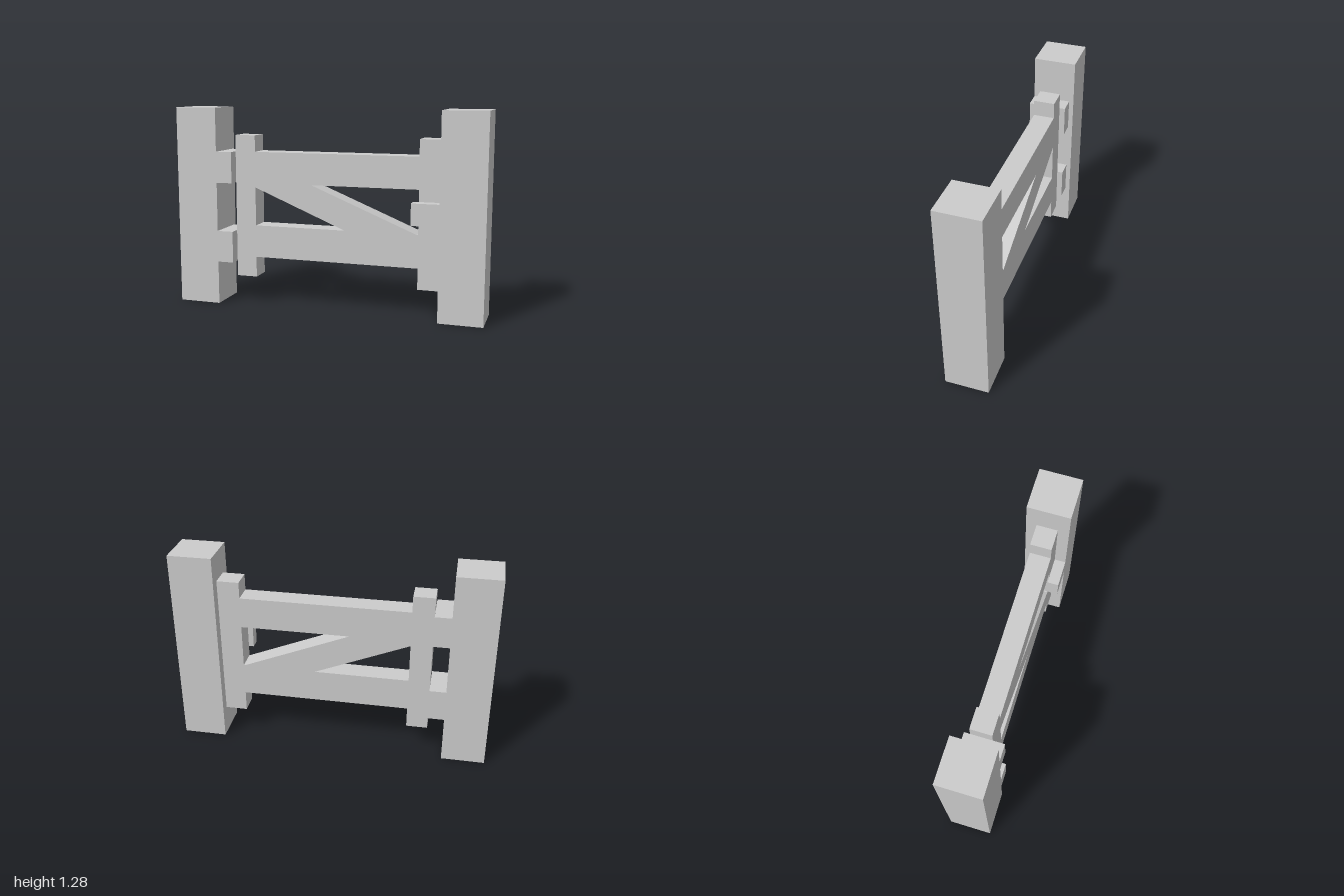
import * as THREE from 'three';

const material = new THREE.MeshStandardMaterial({ color: 0xcccccc, flatShading: true });

// Box given by its limits on each axis
function block(name, [x0, x1], [y0, y1], [z0, z1]) {
  const mesh = new THREE.Mesh(new THREE.BoxGeometry(x1 - x0, y1 - y0, z1 - z0), material);
  mesh.position.set((x0 + x1) / 2, (y0 + y1) / 2, (z0 + z1) / 2);
  mesh.name = name;
  return mesh;
}

const points = (list) => list.map(([x, y]) => new THREE.Vector2(x, y));

// One-piece gate: two stiles, two rails and a diagonal brace between the openings
function createGate() {
  const xl = -0.62, il = -0.485, ir = 0.583, xr = 0.723;
  const low = 0.18, high = 1.105, railLow = 0.313, railHigh = 1.0;
  const shape = new THREE.Shape(points([
    [xl, low], [il, low], [il, railLow], [ir, railLow], [ir, low], [xr, low],
    [xr, high], [ir, high], [ir, railHigh], [il, railHigh], [il, high], [xl, high],
  ]));
  // Openings below and above the brace
  shape.holes.push(
    new THREE.Path(points([[il, 0.522], [il, 0.77], [0.115, 0.522]])),
    new THREE.Path(points([[-0.105, 0.8], [ir, 0.8], [ir, 0.522], [0.575, 0.522]])),
  );
  const geometry = new THREE.ExtrudeGeometry(shape, { depth: 0.135, bevelEnabled: false });
  geometry.translate(0, 0, -0.07);
  const gate = new THREE.Mesh(geometry, material);
  gate.name = 'gate';
  return gate;
}

export function createModel() {
  const model = new THREE.Group();
  model.name = 'fenceGate';
  const half = 0.137;

  // Posts
  model.add(block('rightPost', [-1, -0.725], [0, 1.28], [-half, half]));
  model.add(block('leftPost', [0.723, 1], [0, 1.28], [-half, half]));

  model.add(createGate());

  // Hinges between the right post and the gate
  model.add(block('upperHinge', [-0.725, -0.62], [0.8, 1.0], [-0.107, half]));
  model.add(block('lowerHinge', [-0.725, -0.62], [0.28, 0.484], [-0.107, half]));

  // Latch in front of the gate
  model.add(block('latch', [0.55, 0.723], [0.59, 0.726], [0.065, half]));

  return model;
}
